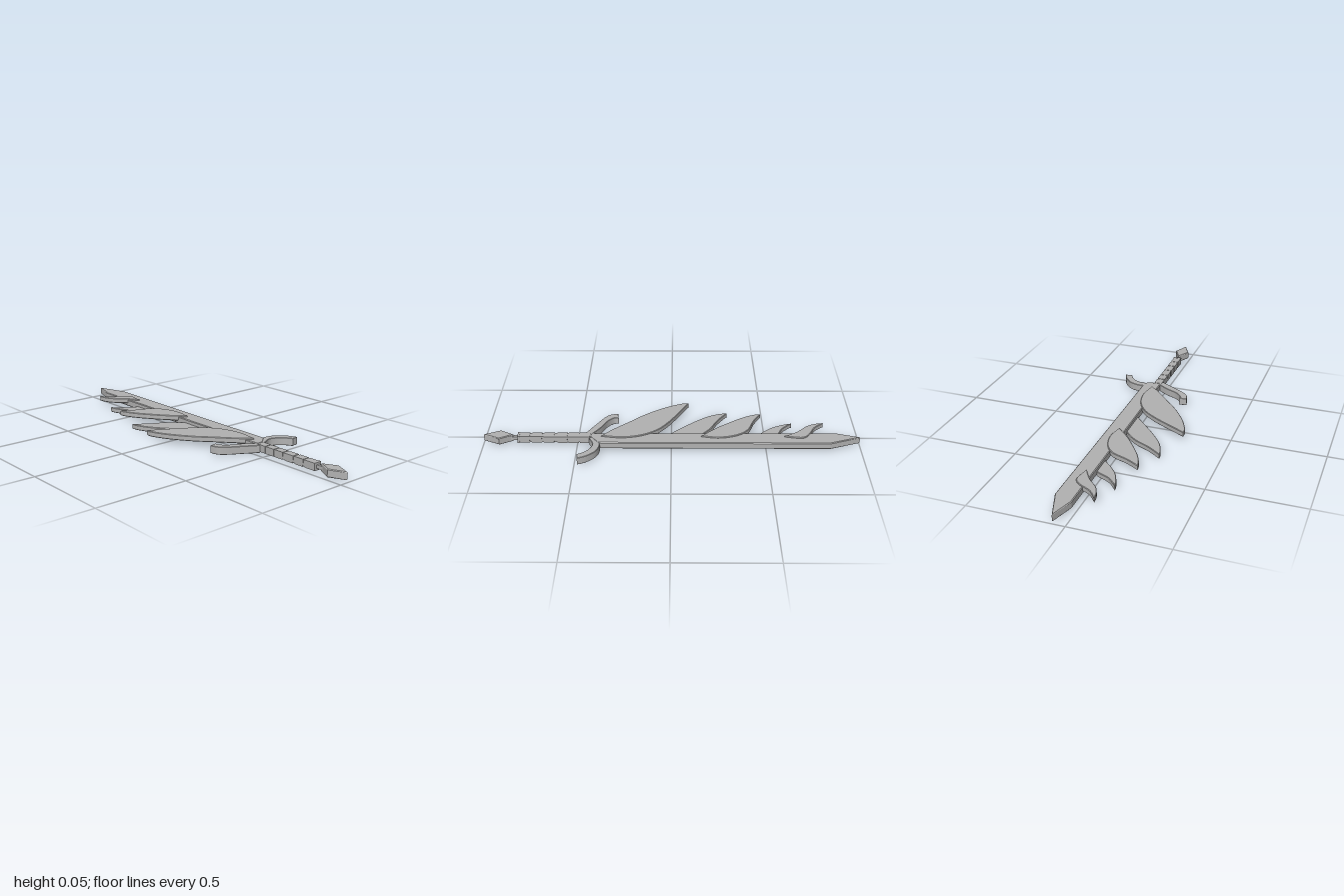
import * as THREE from 'three';

const steel = new THREE.MeshStandardMaterial({ color: 0xb2b2b2 });
steel.name = 'grey steel';

// Extrudes an outline drawn in (x, z) between two heights, with a small bevel
function plate(name, shape, y0, y1, bevel = 0.004) {
  const geo = new THREE.ExtrudeGeometry(shape, {
    depth: y1 - y0 - 2 * bevel, curveSegments: 10,
    bevelEnabled: true, bevelThickness: bevel, bevelSize: bevel, bevelOffset: -bevel, bevelSegments: 1,
  });
  geo.rotateX(Math.PI / 2);
  geo.translate(0, y1 - bevel, 0);
  const mesh = new THREE.Mesh(geo, steel);
  mesh.name = name;
  return mesh;
}

const polygon = (pts) => new THREE.Shape(pts.map(([x, z]) => new THREE.Vector2(x, z)));

// Closed outline made of smooth runs that meet at sharp corners
function smoothOutline(...runs) {
  const shape = new THREE.Shape();
  shape.moveTo(...runs[0][0]);
  runs.forEach((run, i) => {
    if (i > 0) shape.lineTo(...run[0]);
    shape.splineThru(run.slice(1).map(([x, z]) => new THREE.Vector2(x, z)));
  });
  return shape;
}

function box(name, w, h, d, x, y, z) {
  const mesh = new THREE.Mesh(new THREE.BoxGeometry(w, h, d), steel);
  mesh.name = name;
  mesh.position.set(x, y, z);
  return mesh;
}

// Feathers: front edge and back edge, both running between the tip and the root
const feathers = [
  { top: true,
    front: [[-0.267, -0.095], [-0.165, -0.04], [-0.07, 0.015], [0.005, 0.075], [0.057, 0.16], [0.077, 0.265], [0.063, 0.372]],
    back: [[0.063, 0.372], [0.005, 0.32], [-0.075, 0.23], [-0.155, 0.14], [-0.225, 0.035], [-0.265, -0.055], [-0.267, -0.095]] },
  { top: false,
    front: [[-0.207, -0.307], [-0.13, -0.253], [-0.04, -0.205], [0.03, -0.135], [0.07, -0.04], [0.077, 0.02], [0.066, 0.09]],
    back: [[0.066, 0.09], [0.03, 0.04], [-0.09, -0.09], [-0.165, -0.185], [-0.2, -0.26], [-0.207, -0.307]] },
  { top: true,
    front: [[-0.156, -0.487], [-0.085, -0.447], [0.003, -0.41], [0.055, -0.345], [0.077, -0.25], [0.063, -0.158]],
    back: [[0.063, -0.158], [-0.008, -0.23], [-0.066, -0.305], [-0.12, -0.385], [-0.15, -0.45], [-0.156, -0.487]] },
  { top: false,
    front: [[-0.103, -0.655], [-0.05, -0.6], [0.028, -0.56], [0.068, -0.5], [0.077, -0.45], [0.065, -0.38]],
    back: [[0.065, -0.38], [0.028, -0.445], [-0.024, -0.497], [-0.066, -0.55], [-0.095, -0.615], [-0.103, -0.655]] },
  { top: true,
    front: [[-0.066, -0.82], [-0.022, -0.77], [0.03, -0.742], [0.065, -0.715], [0.077, -0.68], [0.063, -0.598]],
    back: [[0.063, -0.598], [0.018, -0.67], [-0.035, -0.725], [-0.06, -0.775], [-0.066, -0.82]] },
];

export function createModel() {
  const model = new THREE.Group();
  model.name = 'featheredSword';

  // Long blade with an angled point
  model.add(plate('blade', polygon([
    [0.063, -1], [0.122, -0.836], [0.122, 0.385], [0.066, 0.43], [0.03, 0.43], [0.023, -0.875],
  ]), 0.013, 0.051));

  // Feathers alternate between the upper and lower faces
  feathers.forEach(({ top, front, back }, i) => {
    model.add(plate('feather' + (i + 1), smoothOutline(front, back),
      top ? 0.029 : 0.002, top ? 0.057 : 0.03, 0.003));
  });

  // Two different curved guard arms
  model.add(plate('rightGuardArm', smoothOutline(
    [[-0.127, 0.29], [-0.122, 0.317], [-0.087, 0.35], [-0.024, 0.381], [0.04, 0.425]],
    [[0.022, 0.455], [-0.05, 0.413], [-0.13, 0.365], [-0.158, 0.333], [-0.167, 0.295]],
  ), 0.009, 0.05, 0.002));
  model.add(plate('leftGuardArm', smoothOutline(
    [[0.055, 0.41], [0.098, 0.382], [0.145, 0.376], [0.198, 0.392], [0.24, 0.434], [0.264, 0.483]],
    [[0.227, 0.488], [0.2, 0.446], [0.162, 0.42], [0.125, 0.414], [0.078, 0.436]],
  ), 0.009, 0.05, 0.002));

  // Grip with raised rings
  model.add(box('grip', 0.036, 0.034, 0.4, 0.047, 0.032, 0.61));
  for (const z of [0.46, 0.52, 0.58, 0.65, 0.715, 0.78]) {
    model.add(box('gripWrap', 0.042, 0.038, 0.054, 0.047, 0.032, z));
  }
  model.add(box('gripCap', 0.045, 0.04, 0.012, 0.047, 0.032, 0.812));

  // Diamond pommel on a thin neck
  model.add(box('pommelNeck', 0.018, 0.018, 0.06, 0.048, 0.032, 0.84));
  model.add(plate('pommel', polygon([
    [0.048, 0.838], [0.089, 0.912], [0.048, 0.998], [0.007, 0.912],
  ]), 0.012, 0.053));

  return model;
}
